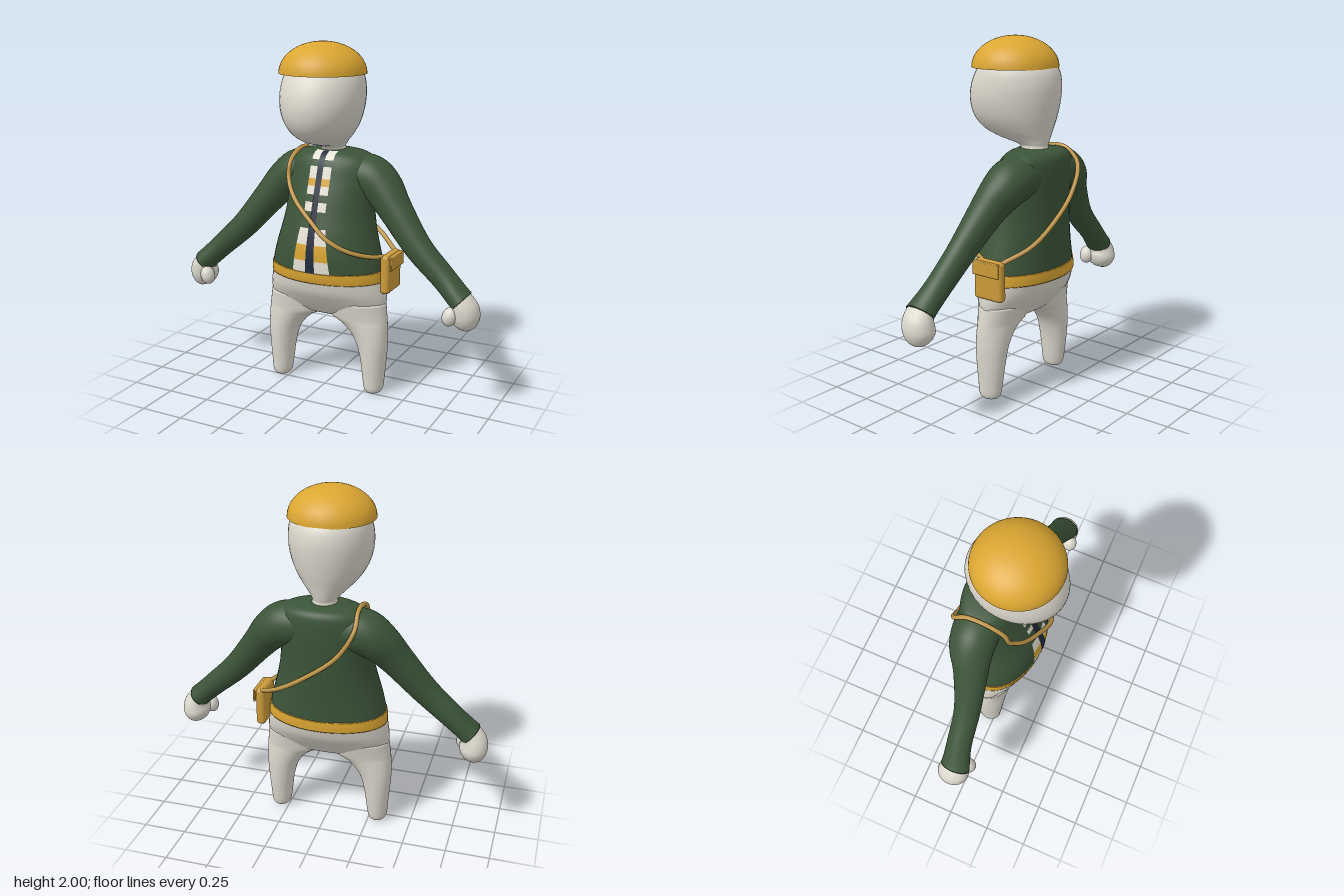
import * as THREE from 'three';
import { RoundedBoxGeometry } from 'three/addons/geometries/RoundedBoxGeometry.js';

const mat = (name, color, side = THREE.FrontSide) => {
  const m = new THREE.MeshStandardMaterial({ color, side });
  m.name = name;
  return m;
};

// Catmull-Rom interpolation through rows of numbers
function smooth(rows, steps = 5) {
  const out = [];
  const last = rows.length - 1;
  for (let i = 0; i < last; i++) {
    const [a, b, c, d] = [rows[Math.max(i - 1, 0)], rows[i], rows[i + 1], rows[Math.min(i + 2, last)]];
    for (let s = 0; s < steps; s++) {
      const t = s / steps;
      out.push(b.map((v, k) => v + 0.5 * t * (c[k] - a[k]
        + t * (2 * a[k] - 5 * v + 4 * c[k] - d[k] + t * (3 * (v - c[k]) + d[k] - a[k])))));
    }
  }
  out.push(rows[last]);
  return out;
}

// Skin over elliptical sections [x, y, z, radiusA, radiusZ]; level keeps the rings horizontal
function loft(rows, level = true, sides = 40) {
  const rings = smooth(rows);
  const pos = [], idx = [], n = rings.length;
  rings.forEach(([x, y, z, ra, rz], i) => {
    const p = rings[Math.max(i - 1, 0)], q = rings[Math.min(i + 1, n - 1)];
    const len = Math.hypot(q[0] - p[0], q[1] - p[1]) || 1;
    const ax = level ? 1 : (q[1] - p[1]) / len;
    const ay = level ? 0 : -(q[0] - p[0]) / len;
    for (let j = 0; j < sides; j++) {
      const t = (j / sides) * Math.PI * 2;
      const c = Math.cos(t) * ra;
      pos.push(x + ax * c, y + ay * c, z + Math.sin(t) * rz);
    }
  });
  for (let i = 0; i < n - 1; i++) {
    for (let j = 0; j < sides; j++) {
      const k = (j + 1) % sides;
      const a = i * sides + j, b = i * sides + k;
      idx.push(a, a + sides, b, b, a + sides, b + sides);
    }
  }
  // end caps
  const first = pos.length / 3;
  pos.push(...rings[0].slice(0, 3), ...rings[n - 1].slice(0, 3));
  for (let j = 0; j < sides; j++) {
    const k = (j + 1) % sides, top = (n - 1) * sides;
    idx.push(first, j, k, first + 1, top + k, top + j);
  }
  const g = new THREE.BufferGeometry();
  g.setAttribute('position', new THREE.Float32BufferAttribute(pos, 3));
  g.setIndex(idx);
  g.computeVertexNormals();
  return g;
}

// Horizontal section from its height, half width, front z and back z
const row = (y, rx, front, back, x = 0) => [x, y, (front + back) / 2, rx, (front - back) / 2];

const TORSO = [
  row(0.70, 0.342, 0.172, -0.275), row(0.76, 0.335, 0.178, -0.275), row(0.85, 0.312, 0.178, -0.275),
  row(0.95, 0.285, 0.16, -0.278), row(1.05, 0.265, 0.13, -0.28), row(1.15, 0.26, 0.10, -0.282),
  row(1.25, 0.265, 0.065, -0.283), row(1.32, 0.26, 0.042, -0.28), row(1.36, 0.235, 0.022, -0.272),
  row(1.385, 0.19, -0.002, -0.25), row(1.40, 0.10, -0.035, -0.205),
];
const torsoRings = smooth(TORSO);

// Front surface of the torso at x, y
function torsoFront(x, y) {
  let i = 0;
  while (i < torsoRings.length - 2 && torsoRings[i + 1][1] < y) i++;
  const a = torsoRings[i], b = torsoRings[i + 1];
  const t = THREE.MathUtils.clamp((y - a[1]) / (b[1] - a[1]), 0, 1);
  const [z, rx, rz] = [2, 3, 4].map((k) => a[k] + (b[k] - a[k]) * t);
  return z + rz * Math.sqrt(Math.max(0, 1 - (x / rx) ** 2));
}

// Thin patch lying on the chest between two heights
function chestPatch(y0, y1, halfWidth, lift) {
  const g = new THREE.PlaneGeometry(2, 1, 8, Math.max(3, Math.ceil((y1 - y0) / 0.012)));
  const p = g.attributes.position;
  for (let i = 0; i < p.count; i++) {
    const y = y0 + (p.getY(i) + 0.5) * (y1 - y0);
    const x = p.getX(i) * halfWidth(y);
    p.setXYZ(i, x, y, torsoFront(x, y) + lift);
  }
  g.computeVertexNormals();
  return g;
}

export function createModel() {
  const group = new THREE.Group();
  group.name = 'figure';
  const skin = mat('offWhite', 0xdcd8cd);
  const green = mat('jacketGreen', 0x3b5438);
  const gold = mat('gold', 0xdba632, THREE.DoubleSide);
  const cream = mat('shirtWhite', 0xebe6da, THREE.DoubleSide);
  const navy = mat('navy', 0x232c3d, THREE.DoubleSide);
  const tan = mat('strapTan', 0xc2984a);
  const bagGold = mat('bagGold', 0xcb9a3a);
  const add = (name, geometry, material) => {
    const m = new THREE.Mesh(geometry, material);
    m.name = name;
    group.add(m);
    return m;
  };

  // Head and neck
  add('head', loft([
    row(1.37, 0.08, -0.04, -0.20), row(1.41, 0.068, -0.03, -0.192), row(1.43, 0.08, 0.02, -0.197),
    row(1.455, 0.108, 0.125, -0.203), row(1.50, 0.155, 0.218, -0.212), row(1.57, 0.20, 0.27, -0.228),
    row(1.66, 0.226, 0.286, -0.243), row(1.75, 0.229, 0.268, -0.246), row(1.83, 0.212, 0.225, -0.222),
    row(1.90, 0.165, 0.17, -0.15), row(1.94, 0.09, 0.10, -0.07), row(1.95, 0.01, 0.03, 0.01),
  ]), skin);

  // Cap, an open dome
  const dome = [];
  for (let i = 0; i <= 16; i++) {
    const t = (i / 16) * Math.PI / 2;
    dome.push(new THREE.Vector2(0.24 * Math.cos(t), 0.17 * Math.sin(t)));
  }
  add('cap', new THREE.LatheGeometry(dome, 48), gold).position.set(0, 1.83, 0.02);

  // Jacket, belt and hips
  add('jacket', loft(TORSO), green);
  add('belt', loft([
    row(0.678, 0.349, 0.172, -0.279), row(0.71, 0.347, 0.179, -0.281), row(0.742, 0.343, 0.182, -0.28),
  ]), gold);
  add('hips', loft([
    row(0.45, 0.18, 0.01, -0.11), row(0.468, 0.29, 0.04, -0.14), row(0.50, 0.35, 0.07, -0.165),
    row(0.56, 0.362, 0.115, -0.212), row(0.62, 0.357, 0.15, -0.25), row(0.70, 0.343, 0.17, -0.275),
  ]), skin);

  // Striped shirt showing through the open jacket
  const opening = (y) => 0.065 + 0.05 * Math.max(0, (1.08 - y) / 0.34);
  const bands = [
    [0.74, 0.81, cream], [0.81, 0.90, gold], [0.90, 0.99, cream], [1.08, 1.13, cream],
    [1.17, 1.215, cream], [1.215, 1.255, gold], [1.255, 1.32, cream], [1.355, 1.398, cream],
  ];
  for (const [y0, y1, m] of bands) add('shirtBand', chestPatch(y0, y1, opening, 0.004), m);
  add('shirtPlacket', chestPatch(0.74, 1.398, (y) => 0.018 + 0.01 * Math.max(0, (1.08 - y) / 0.34), 0.007), navy);

  // Limbs, mirrored
  for (const s of [1, -1]) {
    const side = s > 0 ? 'left' : 'right';
    const leg = (y, inner, outer, front, back) =>
      row(y, (outer - inner) / 2, front, back, s * (inner + outer) / 2);
    add(side + 'Leg', loft([
      leg(0.003, 0.28, 0.32, -0.015, -0.055), leg(0.01, 0.258, 0.342, 0.015, -0.085),
      leg(0.035, 0.245, 0.356, 0.03, -0.1), leg(0.1, 0.235, 0.362, 0.036, -0.11),
      leg(0.2, 0.222, 0.37, 0.045, -0.122), leg(0.3, 0.195, 0.377, 0.052, -0.13),
      leg(0.37, 0.15, 0.377, 0.056, -0.135), leg(0.42, 0.09, 0.375, 0.06, -0.14),
      leg(0.46, 0.02, 0.372, 0.065, -0.148), leg(0.55, 0.0, 0.36, 0.08, -0.17),
    ]), skin);

    const limb = (rows) => loft(rows.map(([x, ...r]) => [s * x, ...r]), false);
    add(side + 'Sleeve', limb([
      [0.10, 1.262, -0.13, 0.115, 0.13], [0.22, 1.25, -0.13, 0.126, 0.13], [0.31, 1.19, -0.12, 0.112, 0.12],
      [0.40, 1.085, -0.085, 0.094, 0.096], [0.55, 0.905, -0.045, 0.078, 0.075],
      [0.70, 0.765, -0.03, 0.068, 0.072], [0.785, 0.685, -0.015, 0.065, 0.08], [0.82, 0.652, -0.01, 0.066, 0.086],
    ]), green);
    add(side + 'Hand', limb([
      [0.79, 0.68, -0.01, 0.055, 0.075], [0.82, 0.645, -0.01, 0.064, 0.083], [0.837, 0.605, -0.015, 0.077, 0.09],
      [0.84, 0.56, -0.02, 0.078, 0.09], [0.84, 0.52, -0.02, 0.062, 0.07],
      [0.838, 0.496, -0.02, 0.035, 0.04], [0.836, 0.488, -0.02, 0.005, 0.005],
    ]), skin);
    const thumb = add(side + 'Thumb', new THREE.SphereGeometry(1, 24, 16), skin);
    thumb.scale.set(0.042, 0.055, 0.045);
    thumb.position.set(s * 0.775, 0.575, 0.048);
    thumb.rotation.z = -s * 0.3;
  }

  // Shoulder strap running round the body to the bag
  const path = [
    [0.37, 0.825, -0.06], [0.30, 0.845, 0.06], [0.20, 0.888, 0.148], [0.10, 0.95, 0.185], [0, 1.03, 0.165],
    [-0.13, 1.145, 0.118], [-0.195, 1.24, 0.06], [-0.20, 1.33, 0.03], [-0.20, 1.383, -0.07],
    [-0.20, 1.38, -0.18], [-0.20, 1.30, -0.262], [-0.11, 1.15, -0.288], [0.08, 1.0, -0.29],
    [0.23, 0.905, -0.262], [0.36, 0.83, -0.17],
  ].map((p) => new THREE.Vector3(...p));
  add('strap', new THREE.TubeGeometry(new THREE.CatmullRomCurve3(path), 120, 0.013, 8), tan);

  // Side bag with its flap
  add('bag', new RoundedBoxGeometry(0.055, 0.225, 0.19, 4, 0.022), bagGold).position.set(0.368, 0.728, -0.095);
  add('bagFlap', new RoundedBoxGeometry(0.012, 0.072, 0.175, 3, 0.005), bagGold).position.set(0.405, 0.792, -0.095);
  add('bagFlapHinge', new RoundedBoxGeometry(0.05, 0.012, 0.17, 3, 0.005), bagGold).position.set(0.385, 0.828, -0.095);

  return group;
}
